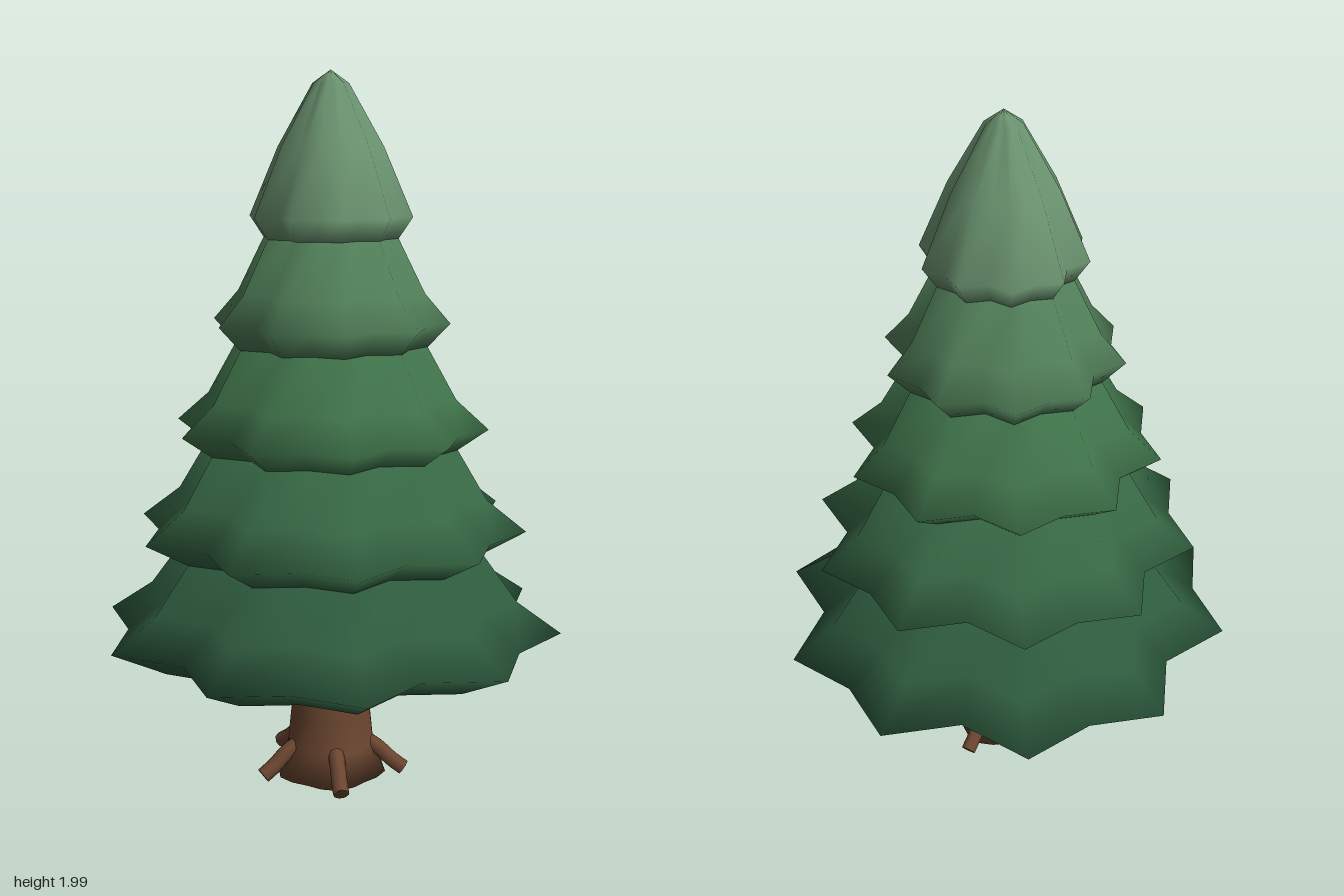
import * as THREE from 'three';

const SEGMENTS = 20;

// Skin a closed surface over [radius, y] rings; scale(j, i) shapes each ring
function loft(rings, scale) {
  const pos = [], index = [], row = SEGMENTS + 1;
  rings.forEach(([r, y], i) => {
    for (let j = 0; j <= SEGMENTS; j++) {
      const a = (j / SEGMENTS) * Math.PI * 2;
      const k = r * scale(j % SEGMENTS, i);
      pos.push(Math.cos(a) * k, y, Math.sin(a) * k);
    }
  });
  for (let i = 0; i < rings.length - 1; i++) {
    for (let j = 0; j < SEGMENTS; j++) {
      const a = i * row + j, b = a + 1, c = a + row, d = c + 1;
      if (rings[i][0] > 0) index.push(a, c, b);
      if (rings[i + 1][0] > 0) index.push(b, c, d);
    }
  }
  const geo = new THREE.BufferGeometry();
  geo.setAttribute('position', new THREE.Float32BufferAttribute(pos, 3));
  geo.setIndex(index);
  geo.computeVertexNormals();
  return geo;
}

// Ten points, with valleys of two alternating depths
const star = (j) => (j % 2 === 0 ? 1 : j % 4 === 1 ? 0.88 : 0.82);

export function createModel() {
  const tree = new THREE.Group();
  tree.name = 'pineTree';
  const add = (name, geo, material, parent = tree) => {
    const mesh = new THREE.Mesh(geo, material);
    mesh.name = name;
    parent.add(mesh);
    return mesh;
  };

  // Foliage tiers: underside centre, lower lip, points, shoulder, neck
  const tiers = [
    { color: 0x2d5a3d, rings: [[0, 0.36], [0.5, 0.385], [0.655, 0.465], [0.53, 0.55], [0.42, 0.7], [0, 0.74]] },
    { color: 0x356643, rings: [[0, 0.67], [0.43, 0.685], [0.55, 0.755], [0.44, 0.84], [0.35, 0.99], [0, 1.03]] },
    { color: 0x3d7048, rings: [[0, 0.96], [0.35, 0.975], [0.44, 1.04], [0.35, 1.12], [0.26, 1.28], [0, 1.32]] },
    { color: 0x4f7d57, rings: [[0, 1.25], [0.27, 1.265], [0.33, 1.33], [0.26, 1.41], [0.18, 1.57], [0, 1.6]] },
    { color: 0x6b9470, rings: [[0, 1.545], [0.185, 1.555], [0.225, 1.615], [0.145, 1.8], [0.05, 1.965], [0, 2]] },
  ];
  const foliage = new THREE.Group();
  foliage.name = 'foliage';
  tree.add(foliage);
  tiers.forEach(({ color, rings }, n) =>
    add(`foliageTier${n + 1}`, loft(rings, star), new THREE.MeshStandardMaterial({ color }), foliage));

  // Trunk with a flared, lobed foot
  const bark = new THREE.MeshStandardMaterial({ color: 0x6b4630 });
  const trunkRings = [[0, 0.01], [0.16, 0.01], [0.125, 0.1], [0.115, 0.2], [0.103, 0.37], [0, 0.4]];
  add('trunk', loft(trunkRings, (j, i) => (i === 1 ? 0.95 + 0.06 * Math.cos((j / SEGMENTS) * Math.PI * 10) : 1)), bark);

  // Five roots curving down and out to the ground
  const rootPath = new THREE.CatmullRomCurve3([
    new THREE.Vector3(0.09, 0.115, 0),
    new THREE.Vector3(0.14, 0.085, 0),
    new THREE.Vector3(0.18, 0.05, 0),
    new THREE.Vector3(0.215, 0.026, 0),
  ]);
  const rootGeo = new THREE.TubeGeometry(rootPath, 8, 0.023, 8);
  const capGeo = new THREE.CircleGeometry(0.023, 8);
  for (let n = 0; n < 5; n++) {
    const root = new THREE.Group();
    root.name = `root${n + 1}`;
    root.rotation.y = (-n * Math.PI * 2) / 5;
    add('rootBranch', rootGeo, bark, root);
    const cap = add('rootEnd', capGeo, bark, root);
    cap.position.copy(rootPath.getPoint(1));
    cap.quaternion.setFromUnitVectors(new THREE.Vector3(0, 0, 1), rootPath.getTangent(1));
    tree.add(root);
  }
  return tree;
}
